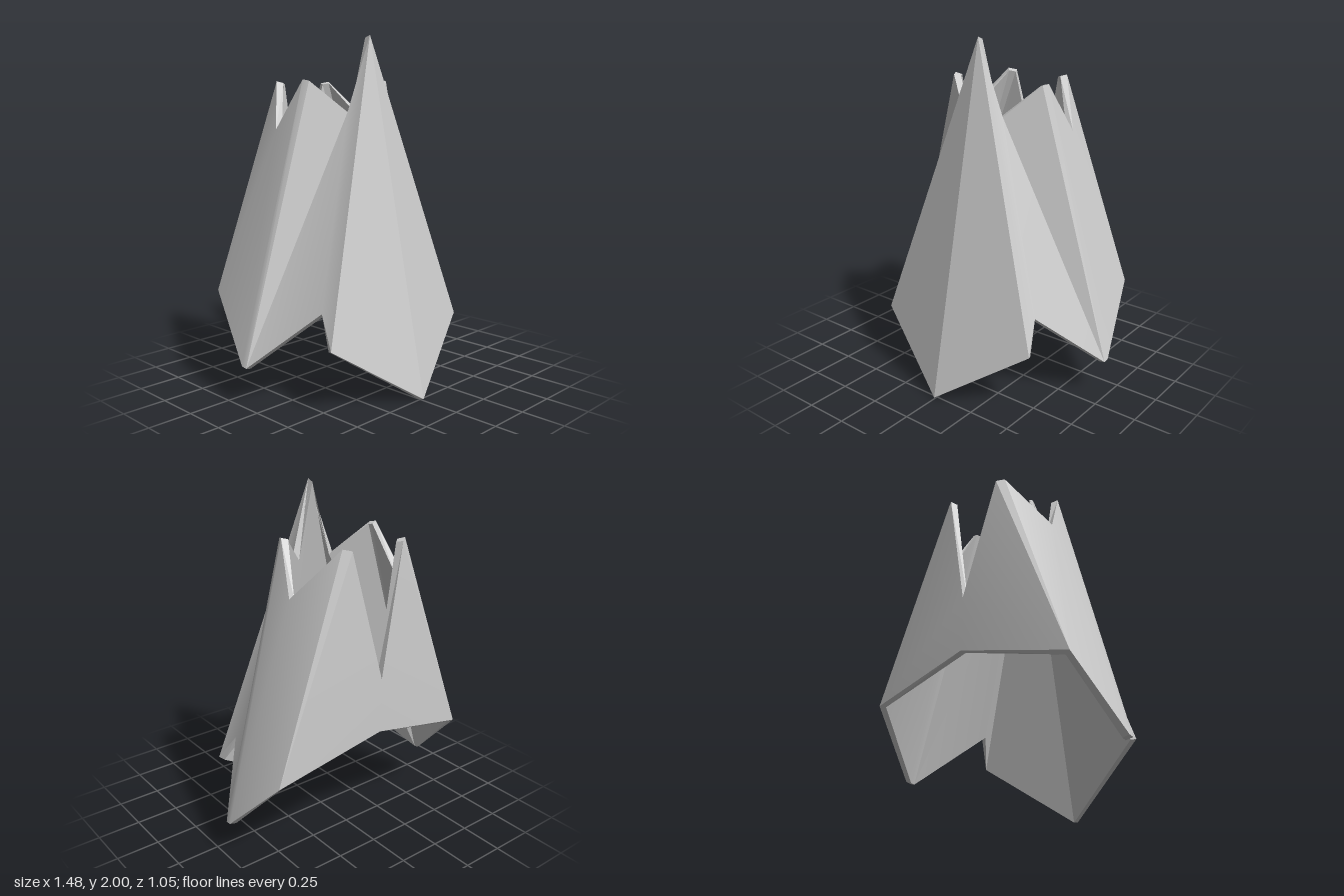
import * as THREE from 'three';
import { toCreasedNormals } from 'three/addons/utils/BufferGeometryUtils.js';

const THICKNESS = 0.04;
const V = (x, y, z) => new THREE.Vector3(x, y, z);

// Left half of the lower hem, front to back
const hem = [
  V(0, 0.01, 0.525),       // front tip
  V(0.52, 0.36, 0.33),     // front panel corner
  V(0.47, 0.53, 0.21),     // fold behind the front panel
  V(0.74, 0.22, -0.1), V(0.74, 0.225, -0.135), // blunt side tip
  V(0.64, 0.57, -0.475),   // back corner
  V(0, 0.72, -0.525),      // back centre
];

// Left half of the jagged top edge, front to back
const crown = [
  V(0, 2, 0.11),           // front peak
  V(0.14, 1.58, 0.075),    // front notch
  V(0.31, 1.75, -0.05), V(0.325, 1.757, -0.085), // blunt side peak
  V(0.39, 1.48, -0.24),    // side notch
  V(0.21, 1.75, -0.44), V(0.17, 1.74, -0.47),    // blunt back peak
  V(0, 1.03, -0.525),      // back notch
];

// Facets joining hem (0-6) to crown (7-14)
const facets = [
  [0, 1, 7], [1, 2, 7], [2, 8, 7],                // front panel and its return
  [2, 3, 8], [3, 9, 8], [3, 10, 9], [3, 4, 10],   // side, front half
  [4, 11, 10], [4, 5, 11], [5, 12, 11],           // side, back half
  [5, 13, 12], [5, 14, 13], [5, 6, 14],           // back panel
];

// Pushes every corner inward along its angle-weighted normal
function offsetInward(points) {
  const normals = points.map(() => V(0, 0, 0));
  for (const f of facets) {
    const [a, b, c] = f.map((i) => points[i]);
    const n = new THREE.Triangle(a, b, c).getNormal(V(0, 0, 0));
    f.forEach((id, k) => {
      const p = points[id];
      const u = points[f[(k + 1) % 3]].clone().sub(p);
      const w = points[f[(k + 2) % 3]].clone().sub(p);
      normals[id].addScaledVector(n, u.angleTo(w));
    });
  }
  return points.map((p, i) => {
    if (p.x === 0) normals[i].x = 0;
    return p.clone().addScaledVector(normals[i].normalize(), -THICKNESS);
  });
}

// Triangles of one half plus their mirror image
function mirroredMesh(name, triangles) {
  const pos = [];
  for (const [a, b, c] of triangles) {
    for (const p of [a, b, c]) pos.push(p.x, p.y, p.z);
    for (const p of [a, c, b]) pos.push(-p.x, p.y, p.z);
  }
  const geo = new THREE.BufferGeometry();
  geo.setAttribute('position', new THREE.Float32BufferAttribute(pos, 3));
  const mesh = new THREE.Mesh(
    toCreasedNormals(geo, 0.4),
    new THREE.MeshStandardMaterial({ color: 0xcccccc }),
  );
  mesh.name = name;
  return mesh;
}

// Strip closing the gap between outer and inner edges
function rim(outer, inner, first, last, flip) {
  const tris = [];
  for (let i = first; i < last; i++) {
    const [a, b] = flip ? [i + 1, i] : [i, i + 1];
    tris.push([outer[b], outer[a], inner[a]], [outer[b], inner[a], inner[b]]);
  }
  return tris;
}

export function createModel() {
  const outer = [...hem, ...crown];
  const inner = offsetInward(outer);
  const group = new THREE.Group();
  group.name = 'foldedShell';
  group.add(
    mirroredMesh('outerPanels', facets.map((f) => f.map((i) => outer[i]))),
    mirroredMesh('innerPanels', facets.map(([a, b, c]) => [inner[a], inner[c], inner[b]])),
    mirroredMesh('lowerRim', rim(outer, inner, 0, hem.length - 1, false)),
    mirroredMesh('upperRim', rim(outer, inner, hem.length, outer.length - 1, true)),
  );
  return group;
}
